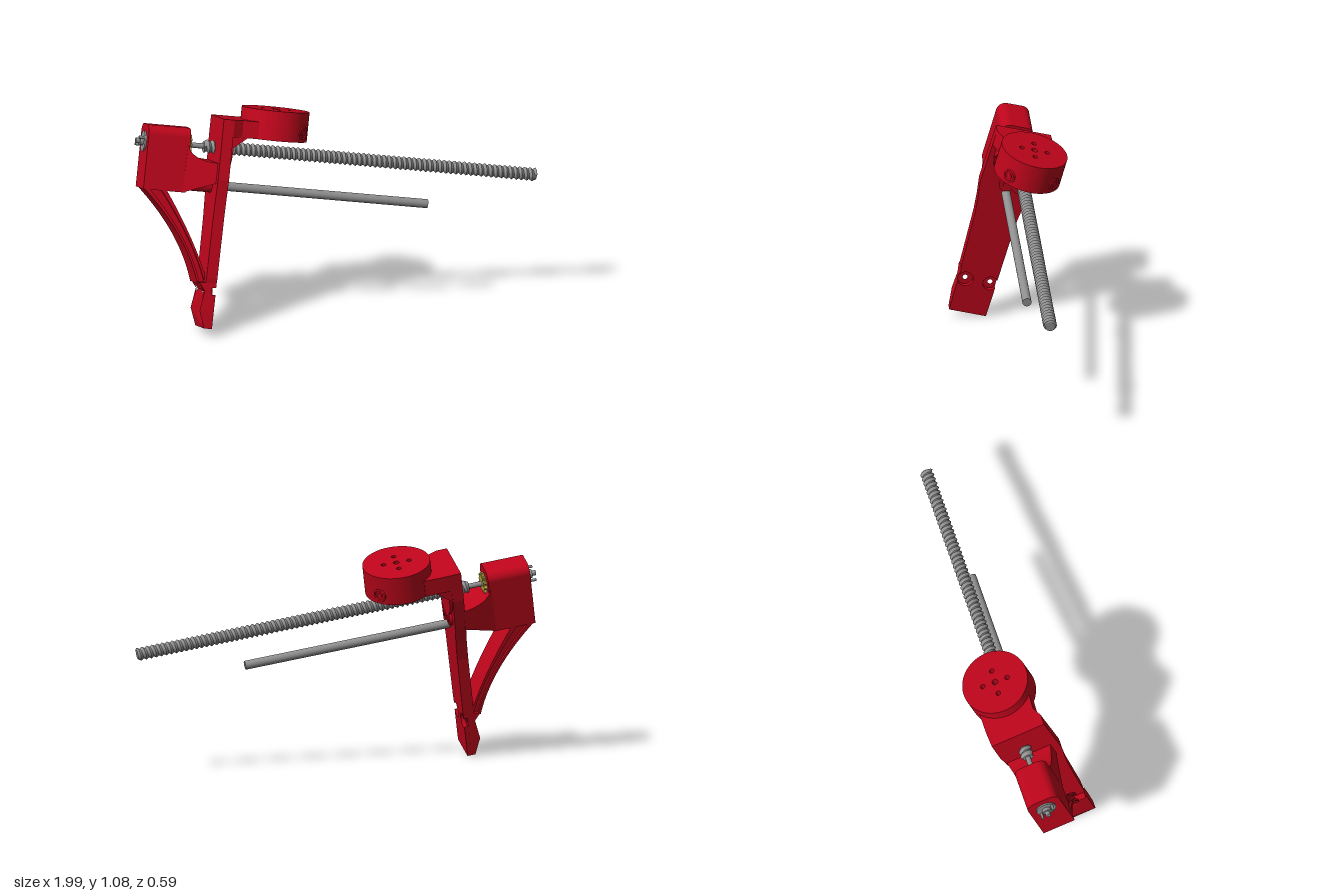
import * as THREE from 'three';

const mat = (name, color) => new THREE.MeshStandardMaterial({ name, color });
const V2 = (x, y) => new THREE.Vector2(x, y);

export function createModel() {
  const red = mat('red plastic', 0xbe051b);
  const steel = mat('steel', 0x909090);
  const brass = mat('brass', 0xb5a642);

  // Local frame: x along the rods, y up the leg, z across the leg.
  const body = new THREE.Group();
  body.name = 'tiltedAssembly';
  const add = (name, geo, material = red) => {
    const m = new THREE.Mesh(geo, material);
    m.name = name;
    body.add(m);
  };
  const shapeOf = (pts, holes = []) => {
    const s = new THREE.Shape(pts.map(p => V2(p[0], p[1])));
    for (const [x, y, r] of holes) s.holes.push(new THREE.Path().absarc(x, y, r, 0, Math.PI * 2, true));
    return s;
  };
  const extrude = (shape, depth) =>
    new THREE.ExtrudeGeometry(shape, { depth, bevelEnabled: false, curveSegments: 40 });
  // Extrusions along x take [z, y] outlines; along y take [x, z] outlines.
  const flipX = pts => pts.map(([z, y, r]) => [-z, y, r]);
  const flipY = pts => pts.map(([x, z, r]) => [x, -z, r]);
  const alongX = (pts, x0, x1) =>
    extrude(shapeOf(flipX(pts)), x1 - x0).rotateY(Math.PI / 2).translate(x0, 0, 0);
  const alongY = (shape, y0, y1) => extrude(shape, y1 - y0).rotateX(-Math.PI / 2).translate(0, y0, 0);
  const alongZ = (shape, half) => extrude(shape, half * 2).translate(0, 0, -half);
  const rod = (name, x0, x1, y, z, r, material = red, seg = 32) =>
    add(name, new THREE.CylinderGeometry(r, r, x1 - x0, seg).rotateZ(-Math.PI / 2)
      .translate((x0 + x1) / 2, y, z), material);

  // Upper leg plate
  add('legPlate', alongX([[-0.077, -0.66], [-0.08, -0.35], [-0.09, -0.25], [-0.113, -0.15], [-0.13, 0],
    [-0.13, 0.15], [0.15, 0.15], [0.155, -0.15], [0.142, -0.24], [0.133, -0.33], [0.12, -0.64],
    [0.115, -0.66]], -0.055, 0));

  // Foot: tapered rear block with bolt holes, and a front layer with round notches
  const bolts = [[0.08, -0.70], [-0.047, -0.70]];
  const foot = extrude(shapeOf(
    flipX([[-0.077, -0.66], [-0.077, -0.70], [-0.077, -0.80], [-0.075, -0.885],
      [0.112, -0.885], [0.115, -0.80], [0.115, -0.70], [0.115, -0.66]]),
    flipX(bolts.map(([z, y]) => [z, y, 0.012]))), 1);
  const taper = [[-0.885, 0.04], [-0.80, 0.072], [-0.70, 0.056], [-0.66, 0.088]];
  const thickness = y => {
    const i = Math.max(1, taper.findIndex(p => y <= p[0] + 1e-4));
    const [y0, t0] = taper[i - 1], [y1, t1] = taper[i];
    return t0 + (t1 - t0) * (y - y0) / (y1 - y0);
  };
  const fp = foot.attributes.position;
  for (let i = 0; i < fp.count; i++) fp.setZ(i, fp.getZ(i) > 0.5 ? -0.02 : -thickness(fp.getY(i)));
  foot.rotateY(Math.PI / 2).computeVertexNormals();
  add('footBlock', foot);

  const notch = (z, y, edge, r, from) => {
    const half = Math.acos(Math.abs(edge - z) / r), out = [];
    for (let i = 0; i <= 16; i++) {
      const t = half + (Math.PI * 2 - 2 * half) * i / 16;
      out.push([z + from * r * Math.cos(t), y + from * r * Math.sin(t)]);
    }
    return out;
  };
  add('footFront', alongX([[-0.075, -0.885], [0.112, -0.885], [0.115, -0.80],
    ...notch(0.08, -0.70, 0.115, 0.039, 1).reverse(), [0.115, -0.66], [-0.077, -0.66],
    ...notch(-0.047, -0.70, -0.077, 0.037, -1).reverse()], -0.02, 0));

  // Curved strut with raised rims
  const outer = new THREE.QuadraticBezierCurve(V2(-0.405, -0.225), V2(-0.165, -0.435), V2(-0.088, -0.67)).getPoints(20);
  const inner = new THREE.QuadraticBezierCurve(V2(-0.3, -0.21), V2(-0.11, -0.475), V2(-0.04, -0.66)).getPoints(20);
  const strut = (name, t0, t1, half) => {
    const at = t => outer.map((p, i) => p.clone().lerp(inner[i], t));
    add(name, alongZ(new THREE.Shape([...at(t0), ...at(t1).reverse()]), half));
  };
  strut('strutOuterRim', 0, 0.25, 0.077);
  strut('strutWeb', 0.25, 0.75, 0.062);
  strut('strutInnerRim', 0.75, 1, 0.077);

  // Motor housing with rounded top edges
  const w = 0.083, top = 0.085, r = 0.045;
  const section = new THREE.Shape();
  section.moveTo(-w, -0.23).lineTo(w, -0.23).lineTo(w, top - r);
  section.absarc(w - r, top - r, r, 0, Math.PI / 2, false);
  section.absarc(-w + r, top - r, r, Math.PI / 2, Math.PI, false);
  add('motorHousing', extrude(section, 0.213).rotateY(Math.PI / 2).translate(-0.408, 0, 0));

  // Bridge from housing to leg, flaring towards the plate
  const side = new THREE.Shape();
  side.moveTo(-0.21, -0.23).lineTo(-0.05, -0.17).lineTo(-0.05, -0.07);
  side.quadraticCurveTo(-0.175, -0.07, -0.205, 0.0);
  const bridge = alongZ(side, w), bp = bridge.attributes.position;
  for (let i = 0; i < bp.count; i++) bp.setZ(i, bp.getZ(i) * (1 + (bp.getX(i) + 0.21) * 2.6));
  bridge.computeVertexNormals();
  add('bridge', bridge);
  rod('guideRodSocket', -0.22, -0.05, -0.187, 0.013, 0.036);

  // Motor parts
  rod('motorRearCap', -0.416, -0.4, 0, 0, 0.05, steel);
  rod('motorRearHub', -0.432, -0.41, 0, 0, 0.022, steel);
  rod('motorShaft', -0.452, -0.1, 0, 0, 0.013, steel, 16);
  for (const s of [-1, 1]) rod('motorTerminal', -0.445, -0.41, s * 0.02, s * 0.034, 0.007, steel, 10);
  const gear = [];
  for (let i = 0; i < 48; i++) {
    const q = i / 48 * Math.PI * 2, g = i % 4 < 2 ? 0.056 : 0.044;
    gear.push([g * Math.cos(q), g * Math.sin(q)]);
  }
  add('motorGear', alongX(gear, -0.2, -0.178), brass);

  // Bearing boss with two screw tabs
  rod('bearingBoss', 0, 0.014, 0, 0.005, 0.118, red, 48);
  for (const z of [0.027, -0.037]) {
    rod('bossTab', 0, 0.014, -0.133, z, 0.036);
    rod('tabScrew', 0.014, 0.02, -0.133, z, 0.016);
  }

  // Threaded rod: ridged lathe sheared into a helix, with sharp ridges
  const pitch = 0.0255, turns = 66, prof = [V2(0, 0)];
  for (let i = 0; i < turns; i++) prof.push(V2(0.0245, i * pitch), V2(0.0335, (i + 0.5) * pitch));
  prof.push(V2(0.0245, turns * pitch), V2(0, turns * pitch));
  const lathe = new THREE.LatheGeometry(prof, 24), tp = lathe.attributes.position;
  for (let i = 0; i < tp.count; i++) {
    const k = i % prof.length;
    if (k > 1 && k < prof.length - 2) tp.setY(i, tp.getY(i) + pitch * (Math.floor(i / prof.length) / 24 - 0.5));
  }
  const thread = lathe.toNonIndexed();
  thread.computeVertexNormals();
  add('threadedRod', thread.rotateZ(-Math.PI / 2).translate(-0.11, 0, 0), steel);
  rod('guideRod', -0.05, 1.04, -0.187, 0.013, 0.022, steel);

  // Arm and gussets carrying the round mount
  add('mountArm', alongY(shapeOf(flipY([[-0.05, -0.13], [-0.05, 0.15], [0, 0.15], [0.05, 0.125],
    [0.135, 0.13], [0.135, -0.134], [0.02, -0.134]])), 0.065, 0.15));
  for (const z of [-0.115, 0.115]) {
    add('armGusset', alongZ(shapeOf([[0, 0], [0.08, 0.066], [0, 0.066]]), 0.012).translate(0, 0, z));
  }

  // Round mount: open ring below, drilled plate on top
  const disc = holes => {
    const s = new THREE.Shape().absarc(0.235, 0, 0.167, 0, Math.PI * 2, false);
    for (const [x, z, h] of holes) s.holes.push(new THREE.Path().absarc(x, -z, h, 0, Math.PI * 2, true));
    return s;
  };
  add('mountRing', alongY(disc([[0.235, 0, 0.085]]), 0.065, 0.16));
  const drill = [[0.235, 0, 0.015]];
  for (let i = 0; i < 4; i++) {
    const q = i * Math.PI / 2 + 0.05;
    drill.push([0.235 + 0.064 * Math.cos(q), 0.064 * Math.sin(q), 0.012]);
  }
  add('mountTop', alongY(disc(drill), 0.16, 0.212));

  // Clamp screws in the side of the mount
  for (const s of [-1, 1]) {
    const q = s * 0.75;
    const screw = new THREE.Group();
    screw.name = 'clampScrew';
    screw.position.set(0.235 + 0.166 * Math.cos(q), 0.112, 0.166 * Math.sin(q));
    screw.rotation.y = -q;
    const rim = new THREE.Mesh(new THREE.TorusGeometry(0.029, 0.005, 8, 28).rotateY(Math.PI / 2), red);
    rim.name = 'screwRim';
    const head = new THREE.Mesh(new THREE.CylinderGeometry(0.014, 0.014, 0.012, 20).rotateZ(-Math.PI / 2), red);
    head.name = 'screwHead';
    screw.add(rim, head);
    body.add(screw);
  }

  // Tilt the whole assembly into place
  const u = new THREE.Vector3(0.979, -0.157, -0.127).normalize();
  const v = new THREE.Vector3(0.12, 0.955, -0.265);
  v.addScaledVector(u, -v.dot(u)).normalize();
  body.applyMatrix4(new THREE.Matrix4().makeBasis(u, v, u.clone().cross(v)).setPosition(-0.55, 0.866, -0.05));
  const model = new THREE.Group();
  model.name = 'linearActuatorLeg';
  model.add(body);
  return model;
}
